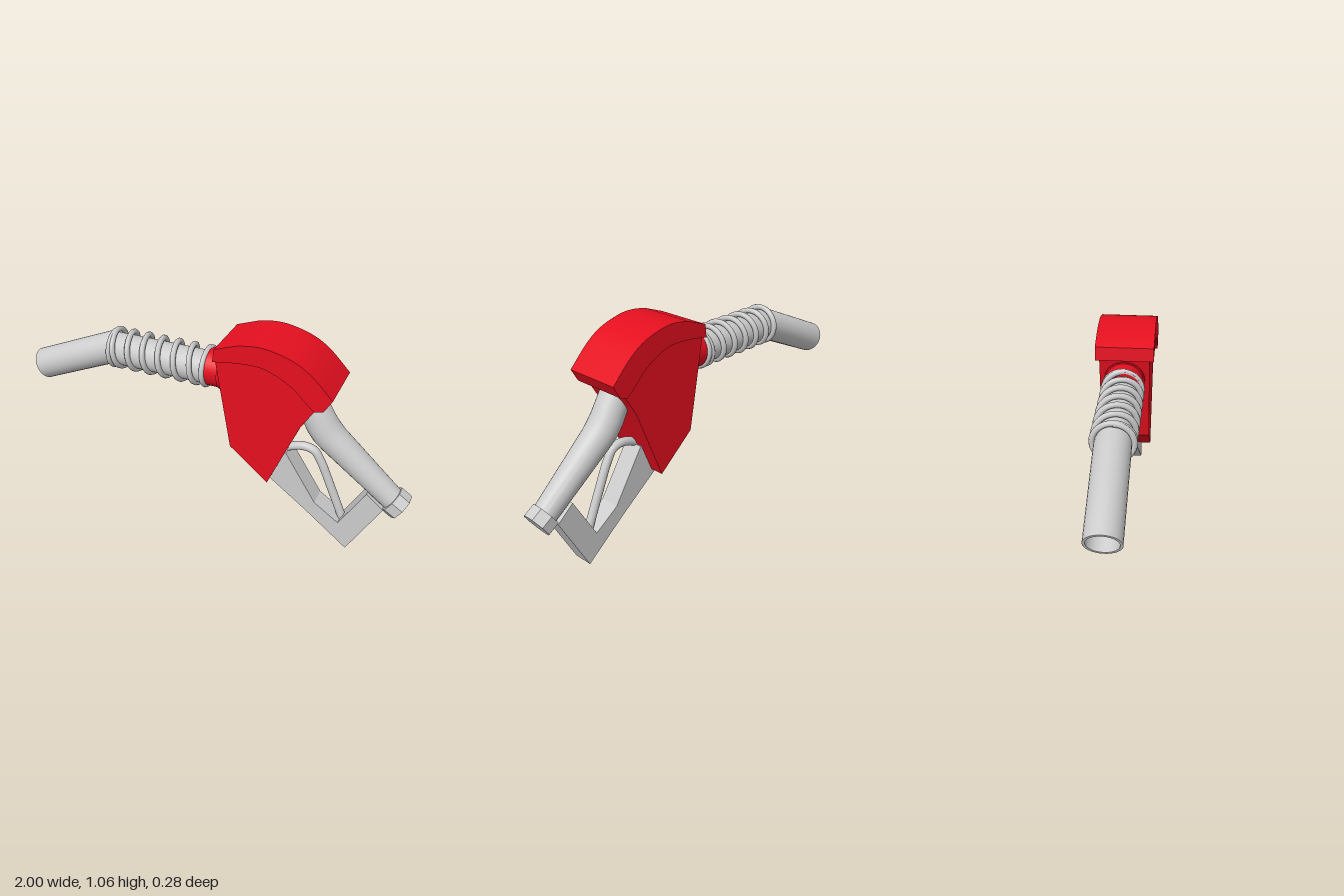
import * as THREE from 'three';
import { toCreasedNormals } from 'three/addons/utils/BufferGeometryUtils.js';

const grey = new THREE.MeshStandardMaterial({ color: 0xcccccc });
const red = new THREE.MeshStandardMaterial({ color: 0xe50f1f });

function addPart(group, name, geometry, material) {
  const mesh = new THREE.Mesh(geometry, material);
  mesh.name = name;
  group.add(mesh);
  return mesh;
}

// Flat slab from an outline, centred on z = 0
function slab(shape, halfWidth) {
  const geo = new THREE.ExtrudeGeometry(shape, { depth: halfWidth * 2, bevelEnabled: false, curveSegments: 16 });
  geo.translate(0, 0, -halfWidth);
  return toCreasedNormals(geo, 0.4);
}

function outline(points) {
  return new THREE.Shape(points.map(([x, y]) => new THREE.Vector2(x, y)));
}

// Round pipe through sections [x, y, axis angle in degrees, radius]
function pipe(sections, sides = 32) {
  const pos = [], index = [];
  for (const [x, y, deg, r] of sections) {
    const a = THREE.MathUtils.degToRad(deg);
    for (let j = 0; j < sides; j++) {
      const t = (j / sides) * Math.PI * 2;
      pos.push(x - Math.sin(a) * r * Math.cos(t), y + Math.cos(a) * r * Math.cos(t), r * Math.sin(t));
    }
  }
  for (let i = 0; i < sections.length - 1; i++) {
    for (let j = 0; j < sides; j++) {
      const k = (j + 1) % sides;
      const a = i * sides + j, b = i * sides + k, c = b + sides, d = a + sides;
      index.push(a, b, c, a, c, d);
    }
  }
  const geo = new THREE.BufferGeometry();
  geo.setAttribute('position', new THREE.Float32BufferAttribute(pos, 3));
  geo.setIndex(index);
  return toCreasedNormals(geo, 0.6);
}

// Cylinder lying along x between two positions
function ringAlongX(x0, x1, y, r) {
  const geo = new THREE.CylinderGeometry(r, r, x1 - x0, 40);
  geo.rotateZ(Math.PI / 2);
  return geo.translate((x0 + x1) / 2, y, 0);
}

export function createModel() {
  const model = new THREE.Group();
  model.name = 'fuelNozzle';

  // Bent hollow spout: outer wall, rim, then back along the bore
  addPart(model, 'spout', pipe([
    [0.06, 0.83, 180, 0.08], [-0.55, 0.83, 192.8, 0.081], [-0.966, 0.65, 205.6, 0.08],
    [-0.966, 0.65, 205.6, 0.068], [-0.55, 0.83, 192.8, 0.069], [0, 0.83, 180, 0.068],
  ]), grey);

  // Coil spring with closed end turns
  const coil = [];
  const turns = 8, perTurn = 20;
  for (let i = 0; i <= turns * perTurn; i++) {
    const t = i / perTurn;
    const x = -0.52 + 0.078 * THREE.MathUtils.clamp(t - 1, 0, 6) + 0.004 * (t - 1);
    const a = t * Math.PI * 2;
    coil.push(new THREE.Vector3(x, 0.837 + 0.09 * Math.cos(a), 0.09 * Math.sin(a)));
  }
  addPart(model, 'spring',
    new THREE.TubeGeometry(new THREE.CatmullRomCurve3(coil), 320, 0.014, 8), grey);

  // Collar joining spout and body
  addPart(model, 'collar', ringAlongX(-0.04, 0.14, 0.84, 0.092), red);
  addPart(model, 'collarFlange', ringAlongX(0.05, 0.14, 0.84, 0.098), red);

  // Valve body
  addPart(model, 'body', slab(outline([
    [0.055, 0.95], [0.135, 0.495], [0.33, 0.335], [0.475, 0.69], [0.55, 0.815],
    [0.53, 0.86], [0.45, 0.95], [0.35, 1.0], [0.25, 1.02], [0.15, 1.0],
  ]), 0.12), red);

  // Curved cover over the body
  const cover = new THREE.Shape();
  const v = (x, y) => new THREE.Vector2(x, y);
  cover.moveTo(0.05, 0.945);
  cover.splineThru([v(0.16, 0.962), v(0.26, 0.967), v(0.33, 0.952), v(0.425, 0.903), v(0.5, 0.835), v(0.54, 0.80)]);
  cover.lineTo(0.582, 0.813);
  cover.lineTo(0.618, 0.875);
  cover.splineThru([v(0.52, 0.973), v(0.435, 1.027), v(0.33, 1.058), v(0.25, 1.063), v(0.17, 1.051)]);
  cover.lineTo(0.058, 1.01);
  cover.closePath();
  addPart(model, 'cover', slab(cover, 0.14), red);

  // Tapered grip
  addPart(model, 'grip', pipe([
    [0.45, 0.825, -60, 0.06], [0.485, 0.765, -60, 0.073], [0.545, 0.66, -56, 0.076],
    [0.575, 0.62, -50, 0.076], [0.61, 0.587, -42, 0.073], [0.93, 0.322, -38, 0.056],
  ]), grey);

  // Octagonal hose fitting
  const nutGeo = new THREE.CylinderGeometry(0.0725, 0.0725, 0.062, 8, 1, false, Math.PI / 8);
  const nut = addPart(model, 'hoseNut', toCreasedNormals(nutGeo, 0.3), grey);
  nut.position.set(0.935, 0.317, 0);
  nut.rotation.z = THREE.MathUtils.degToRad(-33.5 - 90);

  // Hand guard
  addPart(model, 'guard', slab(outline([
    [0.31, 0.32], [0.52, 0.165], [0.73, 0], [0.885, 0.29], [0.8, 0.36],
    [0.68, 0.145], [0.555, 0.23], [0.395, 0.48], [0.33, 0.48],
  ]), 0.05), grey);

  // Trigger lever
  const lever = new THREE.CatmullRomCurve3([
    [0.36, 0.47], [0.41, 0.497], [0.47, 0.512], [0.52, 0.5], [0.555, 0.45], [0.62, 0.305], [0.69, 0.14],
  ].map(([x, y]) => new THREE.Vector3(x, y, 0)));
  addPart(model, 'trigger', new THREE.TubeGeometry(lever, 48, 0.021, 14), grey);

  return model;
}
